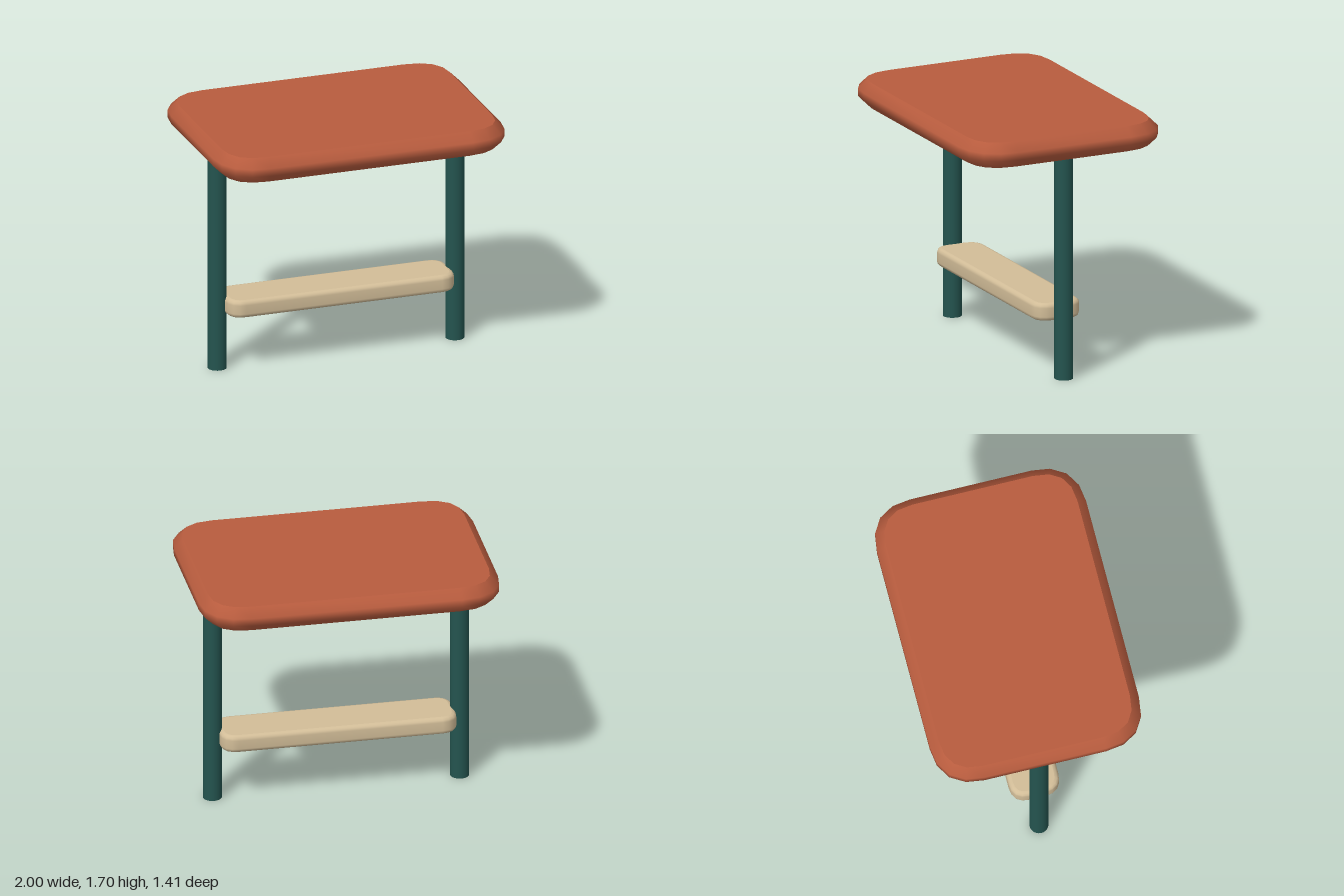
import * as THREE from 'three';
import { mergeVertices, mergeGeometries } from 'three/addons/utils/BufferGeometryUtils.js';

// Lying slab with rounded plan corners: flat faces, smoothly shaded bevelled rim.
function slab(w, h, d, radius, bevel, segments) {
  const x = w / 2 - bevel, z = d / 2 - bevel, r = radius;
  const s = new THREE.Shape();
  s.moveTo(-x + r, -z);
  s.lineTo(x - r, -z);
  s.quadraticCurveTo(x, -z, x, -z + r);
  s.lineTo(x, z - r);
  s.quadraticCurveTo(x, z, x - r, z);
  s.lineTo(-x + r, z);
  s.quadraticCurveTo(-x, z, -x, z - r);
  s.lineTo(-x, -z + r);
  s.quadraticCurveTo(-x, -z, -x + r, -z);
  const solid = new THREE.ExtrudeGeometry(s, {
    depth: h - 2 * bevel, curveSegments: 4,
    bevelThickness: bevel, bevelSize: bevel, bevelSegments: segments,
  });
  // Weld the caps and the rim separately so only their border stays sharp.
  const pos = solid.getAttribute('position').array;
  const parts = solid.groups.map(({ start, count }) => {
    const g = new THREE.BufferGeometry();
    g.setAttribute('position', new THREE.BufferAttribute(pos.slice(start * 3, (start + count) * 3), 3));
    const welded = mergeVertices(g, 1e-5);
    welded.computeVertexNormals();
    return welded;
  });
  const geo = mergeGeometries(parts);
  geo.rotateX(-Math.PI / 2);
  geo.translate(0, bevel, 0);
  return geo;
}

export function createModel() {
  const group = new THREE.Group();
  const paint = (name, color) => {
    const m = new THREE.MeshStandardMaterial({ color });
    m.name = name;
    return m;
  };
  const terracotta = paint('terracotta', 0xb85c3e);
  const green = paint('dark green', 0x24544f);
  const cream = paint('cream', 0xd2bd98);

  const add = (name, geometry, material, x, y, z) => {
    const mesh = new THREE.Mesh(geometry, material);
    mesh.name = name;
    mesh.position.set(x, y, z);
    group.add(mesh);
  };

  // Table top
  add('tableTop', slab(2, 0.172, 1.414, 0.24, 0.06, 1), terracotta, 0, 1.524, 0);

  // Pair of round legs
  const legHeight = 1.54;
  const leg = new THREE.CylinderGeometry(0.0625, 0.0625, legHeight, 24);
  for (const side of [-1, 1]) {
    add(side > 0 ? 'leftLeg' : 'rightLeg', leg, green, side * 0.827, legHeight / 2, 0);
  }

  // Low shelf between the legs
  add('footShelf', slab(1.58, 0.12, 0.336, 0.08, 0.03, 3), cream, 0, 0.385, 0);

  // Thin rail under the front edge
  add('frontRail', slab(1.51, 0.04, 0.07, 0.02, 0.012, 2), cream, 0, 1.477, 0.472);

  return group;
}
